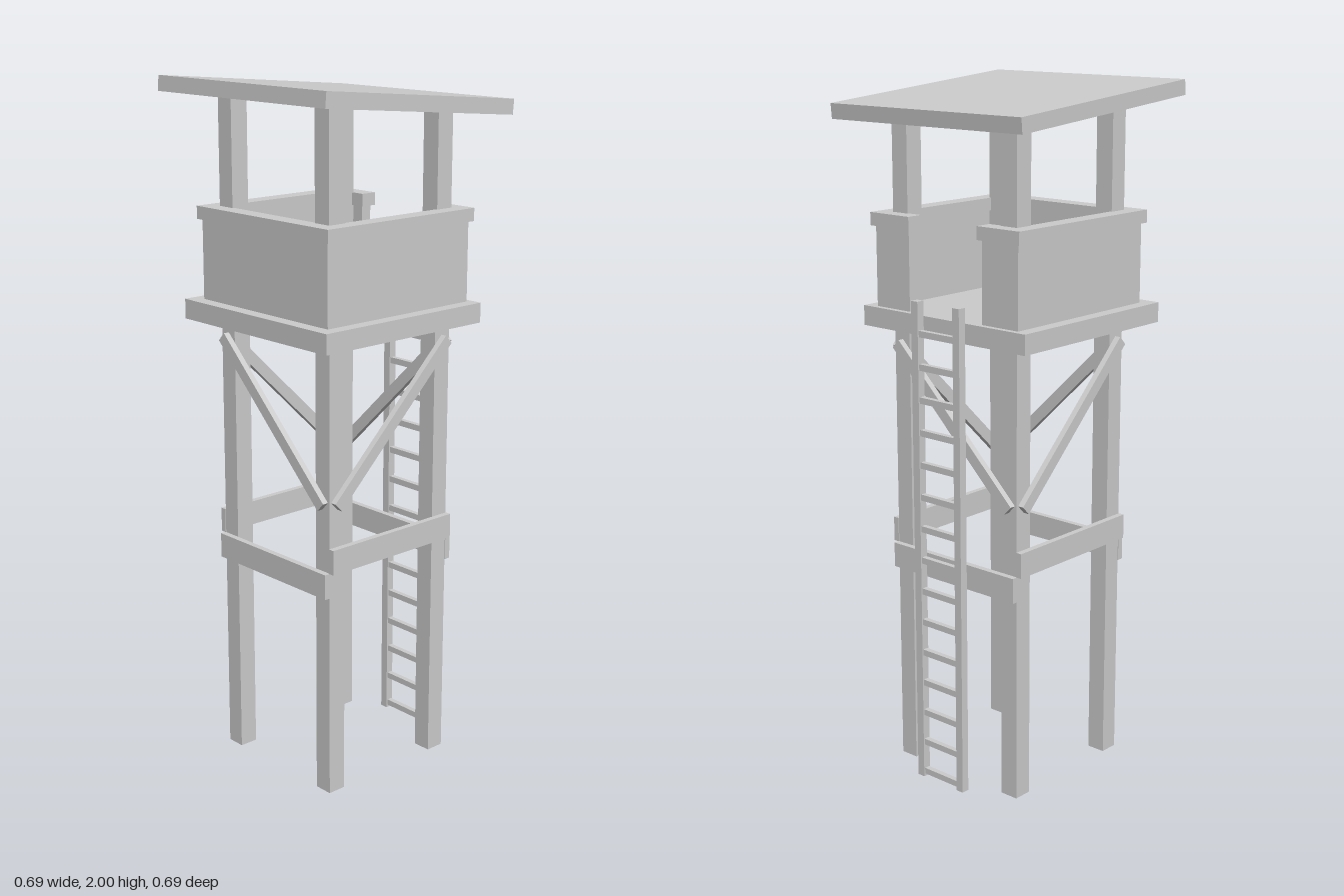
import * as THREE from 'three';

export function createModel() {
  const tower = new THREE.Group();
  tower.name = 'watchtower';
  const material = new THREE.MeshStandardMaterial({ color: 0xcccccc, flatShading: true });

  // Box given by its limits on each axis
  function block(name, [x0, x1], [y0, y1], [z0, z1], parent = tower) {
    const mesh = new THREE.Mesh(new THREE.BoxGeometry(x1 - x0, y1 - y0, z1 - z0), material);
    mesh.position.set((x0 + x1) / 2, (y0 + y1) / 2, (z0 + z1) / 2);
    mesh.name = name;
    parent.add(mesh);
    return mesh;
  }
  // Range on one side of zero, mirrored by the sign
  const side = (s, a, b) => (s > 0 ? [a, b] : [-b, -a]);

  // Legs, the right pair shorter under the sloping roof
  for (const sx of [-1, 1]) {
    for (const sz of [-1, 1]) {
      block('leg', side(sx, 0.172, 0.228), [0, sx < 0 ? 1.955 : 1.92], side(sz, 0.172, 0.228));
    }
  }

  // Horizontal beams and one diagonal brace per side
  for (const s of [-1, 1]) {
    block('crossBeam', [-0.23, 0.23], [0.675, 0.747], side(s, 0.228, 0.246));
    block('sideBeam', side(s, 0.228, 0.246), [0.602, 0.675], [-0.23, 0.23]);

    const brace = block('diagonalBrace', [-0.292, 0.292], [1.053, 1.087], side(s, 0.228, 0.246));
    brace.rotation.z = s * THREE.MathUtils.degToRad(44);
    const sideBrace = block('sideDiagonalBrace', side(s, 0.228, 0.246), [1.053, 1.087], [-0.292, 0.292]);
    sideBrace.rotation.x = -s * THREE.MathUtils.degToRad(44);
  }

  // Platform
  block('platform', [-0.303, 0.279], [1.32, 1.377], [-0.3, 0.3]);

  // Parapet walls with cap rails, open on the ladder side
  const wallY = [1.377, 1.605];
  const railY = [1.605, 1.642];
  block('backWall', [-0.264, -0.228], wallY, [-0.228, 0.228]);
  block('backRail', [-0.274, -0.222], railY, [-0.222, 0.222]);
  for (const s of [-1, 1]) {
    block('sideWall', [-0.264, 0.262], wallY, side(s, 0.228, 0.262));
    block('sideRail', [-0.274, 0.272], railY, side(s, 0.222, 0.274));
    block('entryWall', [0.228, 0.262], wallY, side(s, 0.135, 0.228));
    block('entryRail', [0.222, 0.272], railY, side(s, 0.126, 0.222));
  }

  // Ladder against the platform edge
  const ladder = new THREE.Group();
  ladder.name = 'ladder';
  tower.add(ladder);
  for (const s of [-1, 1]) {
    block('ladderRail', [0.28, 0.304], [0, 1.42], side(s, 0.065, 0.089), ladder);
  }
  for (let i = 0; i < 15; i++) {
    const y = 0.017 + i * 0.0938;
    block('rung', [0.284, 0.3], [y - 0.009, y + 0.009], [-0.067, 0.067], ladder);
  }

  // Sloping roof slab
  const roof = block('roof', [-0.3445, 0.3445], [1.927, 1.97], [-0.344, 0.344]);
  roof.rotation.z = -THREE.MathUtils.degToRad(5);

  return tower;
}
